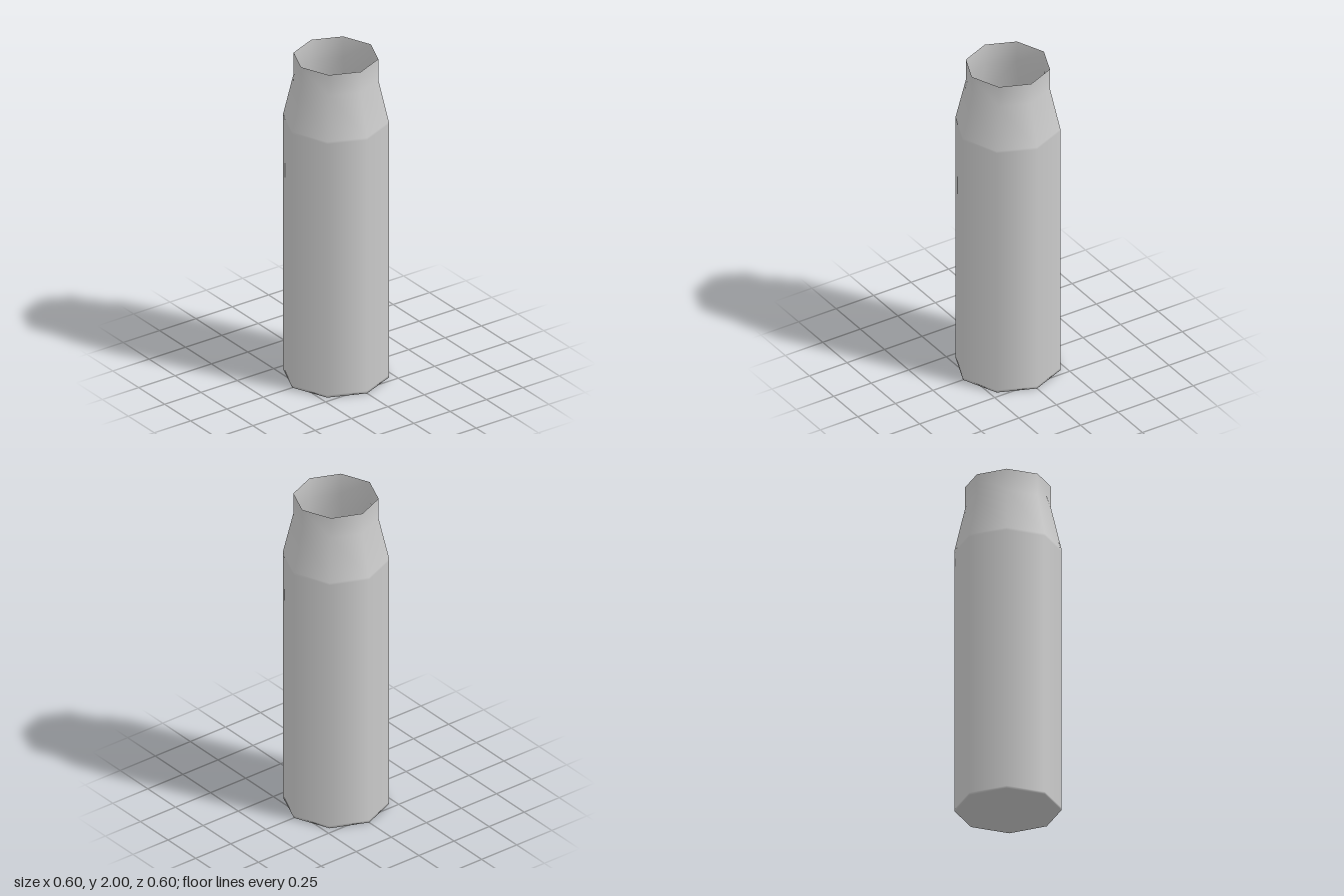
import * as THREE from 'three';

// Profile of the open shell as [radius, height], from base centre to mouth
const PROFILE = [
  [0, 0], [0.21, 0], [0.3, 0],  // flat base
  [0.3, 0.015], [0.3, 1.595],   // straight body, held by tight edge rings
  [0.3, 1.61], [0.24, 1.87],    // sloping shoulder
  [0.24, 2],                    // neck and open mouth
];

export function createModel() {
  const group = new THREE.Group();
  group.name = 'openCasing';

  // Eight-sided, smooth-shaded thin shell
  const points = PROFILE.map(([r, y]) => new THREE.Vector2(r, y));
  const shell = new THREE.Mesh(
    new THREE.LatheGeometry(points, 8),
    new THREE.MeshStandardMaterial({ color: 0xcccccc, side: THREE.DoubleSide })
  );
  shell.name = 'casingShell';
  group.add(shell);
  return group;
}
